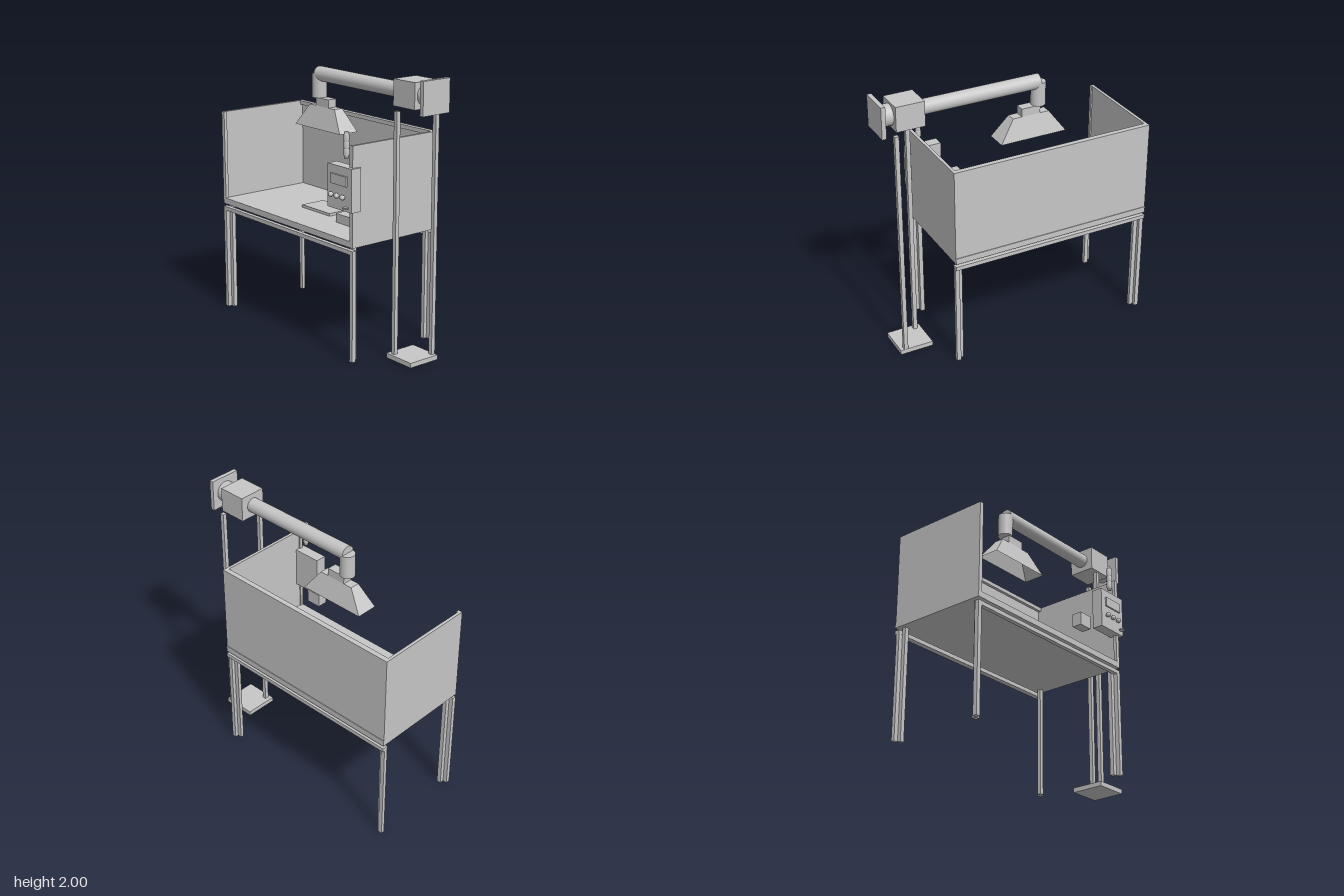
import * as THREE from 'three';

export function createModel() {
  const model = new THREE.Group();
  const grey = new THREE.MeshStandardMaterial({ color: 0xc6c6c6, side: THREE.DoubleSide });
  grey.name = 'light machine grey';

  const add = (name, geometry, x = 0, y = 0, z = 0) => {
    const mesh = new THREE.Mesh(geometry, grey);
    mesh.name = name;
    mesh.position.set(x, y, z);
    model.add(mesh);
  };
  // box given by its limits on each axis
  const box = (name, x0, x1, y0, y1, z0, z1) =>
    add(name, new THREE.BoxGeometry(x1 - x0, y1 - y0, z1 - z0),
      (x0 + x1) / 2, (y0 + y1) / 2, (z0 + z1) / 2);
  const pipe = (name, r, length, x, y, z, axis = 'y') => {
    const geometry = new THREE.CylinderGeometry(r, r, length, 40);
    if (axis === 'x') geometry.rotateZ(Math.PI / 2);
    if (axis === 'z') geometry.rotateX(Math.PI / 2);
    add(name, geometry, x, y, z);
  };

  // table limits and post width
  const L = -0.967, R = 0.575, F = 0.352, B = -0.42, P = 0.032;

  // worktop and long rails under it
  box('worktop', L, R, 0.829, 0.874, B, F);
  box('frontRail', L, R, 0.777, 0.807, F - P, F);
  box('backRail', L, R, 0.777, 0.807, B, -0.378);

  // legs: an outer post and an inner post touching corner to corner
  for (const sx of [-1, 1]) {
    for (const sz of [-1, 1]) {
      const x = sx < 0 ? L + P / 2 : R - P / 2;
      const w = sz < 0 ? 0.027 : P;
      const z = sz < 0 ? -0.392 : F - P / 2;
      const post = (name, px, pz, h) => box(name, px - P / 2, px + P / 2, 0, h, pz - w / 2, pz + w / 2);
      post('outerLegPost', x, z, 0.777);
      post('innerLegPost', x - sx * P, z - sz * w, 0.829);
    }
  }

  // enclosure walls with a front post on each side and a beam along the back
  box('backWall', L, R, 0.874, 1.543, -0.415, -0.40);
  box('backTopBeam', L + 0.022, R - 0.022, 1.513, 1.543, -0.40, -0.377);
  box('rightWall', L, L + 0.022, 0.874, 1.543, -0.40, F - 0.025);
  box('leftWall', R - 0.022, R, 0.874, 1.543, -0.40, F - 0.025);
  box('rightFrontPost', L, L + P, 0.874, 1.543, F - 0.025, F);
  box('leftFrontPost', R - P, R, 0.874, 1.543, F - 0.025, F);

  // items on the worktop
  box('workPlate', -0.36, -0.035, 0.874, 0.894, -0.142, 0.062);
  box('benchUnit', 0.112, 0.297, 0.874, 0.94, 0.033, 0.122);
  box('benchUnitBack', 0.14, 0.262, 0.874, 0.92, 0.0, 0.033);

  // control box with screen, knobs, a small disc and a side module
  box('controlBox', 0.338, 0.595, 1.085, 1.39, 0.295, 0.378);
  box('screen', 0.385, 0.55, 1.26, 1.33, 0.378, 0.39);
  for (const x of [0.394, 0.456, 0.519]) {
    add('knob', new THREE.SphereGeometry(0.018, 24, 16), x, 1.184, 0.397);
    pipe('knobStem', 0.008, 0.02, x, 1.184, 0.384, 'z');
  }
  pipe('discButton', 0.021, 0.006, 0.555, 1.118, 0.4);
  box('sideModule', 0.225, 0.338, 1.085, 1.186, 0.195, 0.272);

  // signal lamp in stacked tiers
  const lamp = [[0, 0], [0.015, 0], [0.018, 0.02]];
  for (const y of [0.02, 0.07, 0.12]) {
    lamp.push([0.021, y + 0.004], [0.021, y + 0.043], [0.018, y + 0.045], [0.018, y + 0.05]);
  }
  lamp.push([0.018, 0.182], [0, 0.182]);
  add('signalLamp', new THREE.LatheGeometry(lamp.map(p => new THREE.Vector2(...p)), 24), 0.494, 1.443, 0.34);

  // hood: open-bottomed tapered shell with a square neck
  const hx = -0.195, hz = -0.036;
  const hood = new THREE.CylinderGeometry(Math.SQRT1_2, Math.SQRT1_2, 1, 4, 1, true)
    .rotateY(Math.PI / 4).toNonIndexed();
  const pos = hood.attributes.position;
  for (let i = 0; i < pos.count; i++) {
    const top = pos.getY(i) > 0;
    pos.setXYZ(i, Math.sign(pos.getX(i)) * (top ? 0.142 : 0.258), top ? 1.651 : 1.492,
      Math.sign(pos.getZ(i)) * (top ? 0.036 : 0.082));
  }
  hood.computeVertexNormals();
  add('hood', hood, hx, 0, hz);
  box('hoodTop', hx - 0.142, hx + 0.142, 1.646, 1.651, hz - 0.036, hz + 0.036);
  box('hoodNeck', hx - 0.073, hx + 0.073, 1.651, 1.711, hz - 0.036, hz + 0.036);

  // extraction duct, fan box and outlet
  const py = 1.882;
  pipe('downPipe', 0.054, py - 1.709, -0.268, (py + 1.709) / 2, hz);
  pipe('ductPipe', 0.054, 0.92, 0.192, py, hz, 'x');
  box('fanBox', 0.648, 0.86, 1.791, 1.975, -0.142, 0.062);
  pipe('outlet', 0.076, 0.077, 0.8975, py, hz, 'x');
  box('outletFlange', 0.935, 0.967, 1.766, 2.0, -0.153, 0.085);

  // stand: square base and two posts on a diagonal
  box('standBase', 0.65, 0.903, 0, 0.035, -0.15, 0.102);
  box('standPost', 0.68, 0.711, 0.035, 1.762, 0.052, 0.083);
  box('standPost', 0.845, 0.876, 0.035, 1.762, -0.149, -0.118);

  return model;
}
